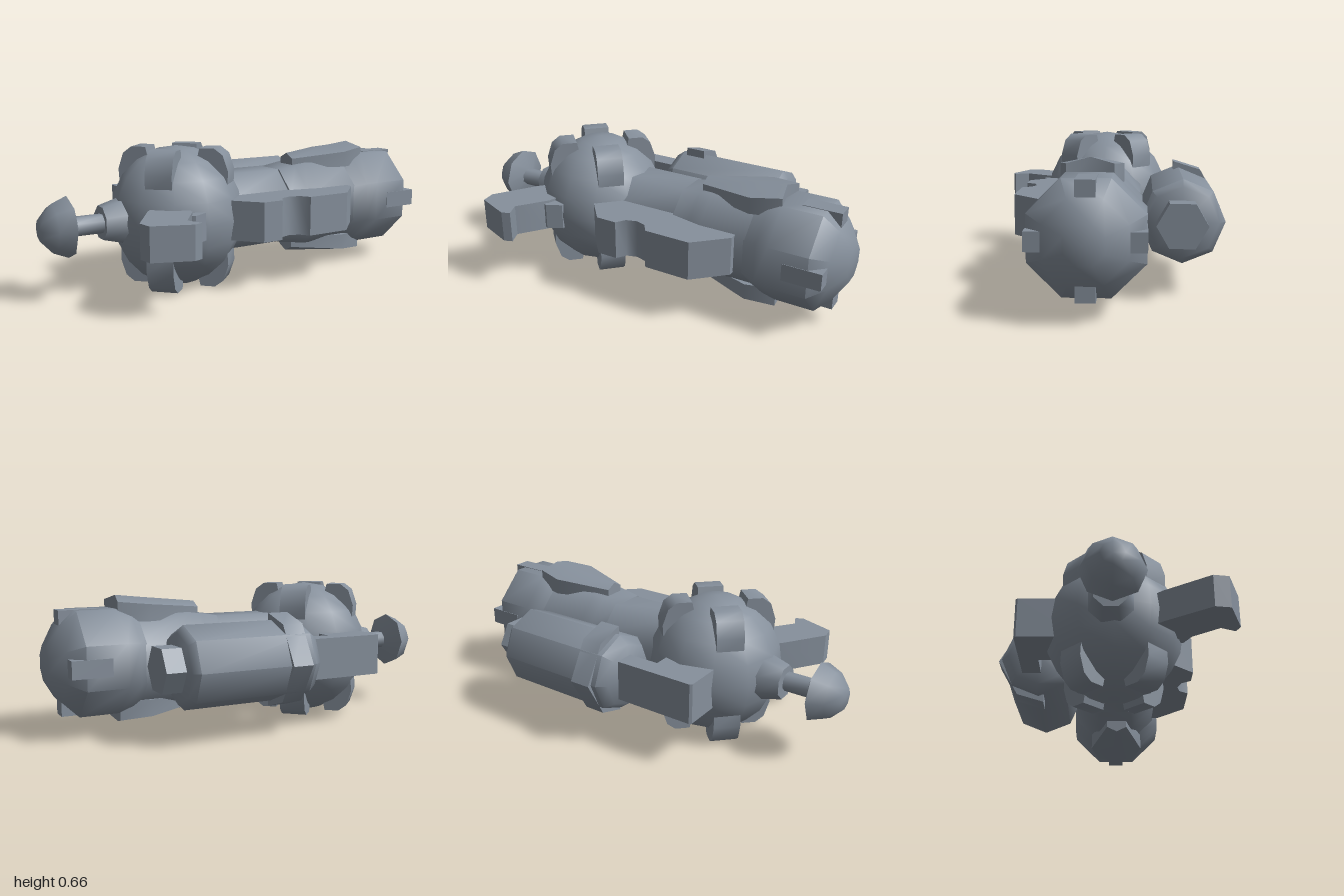
import * as THREE from 'three';
import { toCreasedNormals } from 'three/addons/utils/BufferGeometryUtils.js';

const MID = 0.335; // height of the main axis

export function createModel() {
  const model = new THREE.Group();
  const steel = new THREE.MeshStandardMaterial({ color: 0x86909c });
  steel.name = 'steel';

  function add(name, geometry, parent = model, crease = 0.95) {
    const mesh = new THREE.Mesh(toCreasedNormals(geometry, crease), steel);
    mesh.name = name;
    parent.add(mesh);
    return mesh;
  }

  // Turned part along x from [x, radius] pairs
  function turned(name, profile, z, sides = 8, start = Math.PI / 8) {
    const points = profile.map(([x, r]) => new THREE.Vector2(r, x));
    const geometry = new THREE.LatheGeometry(points, sides, start);
    geometry.rotateZ(-Math.PI / 2).translate(0, MID, z);
    return add(name, geometry);
  }

  const shapeOf = (pts) => new THREE.Shape(pts.map(([a, b]) => new THREE.Vector2(a, b)));

  // Slab with an [x, z] outline between two heights
  function slab(name, outline, y0, y1) {
    const geometry = new THREE.ExtrudeGeometry(shapeOf(outline.map(([x, z]) => [x, -z])),
      { depth: y1 - y0, bevelEnabled: false });
    geometry.rotateX(-Math.PI / 2).translate(0, y0, 0);
    return add(name, geometry, model, 0.7);
  }

  // Spherical chamber
  const chamber = new THREE.Group();
  chamber.name = 'chamber';
  chamber.position.set(-0.34, MID, 0.01);
  model.add(chamber);
  const ball = new THREE.SphereGeometry(0.33, 12, 10);
  ball.scale(0.95, 1, 0.96);
  add('chamberBall', ball, chamber);

  // Four diagonal lugs above and four below
  const lugOutline = [[0.1, 0.2], [0.26, 0.14], [0.265, 0.22], [0.24, 0.295], [0.2, 0.325], [0.13, 0.325]];
  for (const flip of [0, Math.PI]) {
    const ring = new THREE.Group();
    ring.name = flip ? 'lowerLugs' : 'upperLugs';
    ring.rotation.x = flip;
    chamber.add(ring);
    for (let i = 0; i < 4; i++) {
      const lug = new THREE.ExtrudeGeometry(shapeOf(lugOutline), { depth: 0.125, bevelEnabled: false });
      lug.translate(0, 0, -0.0625);
      add('lug', lug, ring, 0.8).rotation.y = Math.PI / 4 + i * Math.PI / 2;
    }
  }

  // Rear plunger
  turned('plungerSocket', [[-0.72, 0], [-0.72, 0.08], [-0.63, 0.105], [-0.55, 0.105]], -0.005);
  turned('plungerRod', [[-0.88, 0.045], [-0.68, 0.045]], 0.007);
  turned('plungerKnob', [[-1, 0], [-1, 0.05], [-0.945, 0.11], [-0.875, 0.14], [-0.84, 0.04], [-0.84, 0]],
    0, 8, 0);

  // Barrel: neck, middle section and nose
  turned('neck', [[-0.14, 0.2], [0.2, 0.2]], 0.012);
  turned('barrelMiddle', [[0.185, 0], [0.185, 0.2], [0.28, 0.215], [0.34, 0.225], [0.66, 0.225]], 0.025);
  turned('nose', [[0.5, 0.19], [0.63, 0.245], [0.69, 0.254], [0.875, 0.254], [0.945, 0.18],
    [1, 0.085], [1, 0]], 0.033);

  // Ridges round the nose
  for (let i = 0; i < 4; i++) {
    const ridge = new THREE.BoxGeometry(0.18, 0.08, 0.08);
    ridge.translate(0.85, 0.197, 0).rotateX(i * Math.PI / 2).translate(0, MID, 0.033);
    add('noseRidge', ridge);
  }

  // Tapered, ridged plates above and below the barrel
  for (const flip of [0, Math.PI]) {
    const plate = new THREE.BoxGeometry(2, 1, 2, 2, 1, 2);
    const p = plate.attributes.position;
    for (let i = 0; i < p.count; i++) {
      const col = Math.round(p.getX(i)) + 1;
      const side = Math.round(p.getZ(i));
      const x = [0.28, 0.55, 0.69][col] - (col === 2 && side === 0 ? 0.02 : 0);
      const top = [0.255, 0.282, 0.295][col] - 0.025 * Math.abs(side);
      p.setXYZ(i, x, p.getY(i) > 0 ? top : 0.18, side * [0.05, 0.135, 0.098][col]);
    }
    plate.rotateX(flip).translate(0, MID, 0.03);
    add(flip ? 'lowerPlate' : 'upperPlate', plate);
  }

  // Fore grip with a finger notch
  slab('foreGrip', [[-0.2, 0.1], [-0.2, 0.28], [-0.1, 0.395], [0, 0.395], [0.03, 0.35], [0.08, 0.335],
    [0.13, 0.35], [0.16, 0.395], [0.38, 0.395], [0.52, 0.26], [0.52, 0.1]], 0.245, 0.43);

  // Rear handle and trigger
  slab('handle', [[-0.5, 0.12], [-0.59, 0.22], [-0.72, 0.42], [-0.71, 0.49], [-0.54, 0.555], [-0.5, 0.54],
    [-0.53, 0.47], [-0.43, 0.33], [-0.4, 0.2]], 0.262, 0.412);
  slab('trigger', [[-0.5, 0.25], [-0.46, 0.345], [-0.43, 0.362], [-0.36, 0.325], [-0.36, 0.25]], 0.275, 0.4);

  // Side canister with end cap
  turned('canister', [[-0.1, 0], [-0.1, 0.15], [-0.055, 0.185], [0.5, 0.185], [0.53, 0.155], [0.53, 0]],
    -0.355, 8, 0);
  turned('canisterCap', [[0.5, 0.11], [0.62, 0.11], [0.62, 0]], -0.35, 6, 0);

  // Half-round clamp on the canister
  const clamp = new THREE.ExtrudeGeometry(
    shapeOf([[0.33, 0.12], [0.46, 0.16], [0.558, MID], [0.46, 0.51], [0.33, 0.55]]),
    { depth: 0.1, bevelEnabled: false });
  clamp.rotateY(Math.PI / 2).translate(-0.03, 0, 0);
  add('canisterClamp', clamp, model, 0.8);

  // Bracket joining the chamber to the clamp
  slab('bracket', [[-0.49, -0.15], [-0.25, -0.15], [-0.25, -0.34], [0.06, -0.34], [0.06, -0.43],
    [-0.48, -0.43], [-0.49, -0.42]], 0.24, 0.43);

  return model;
}
